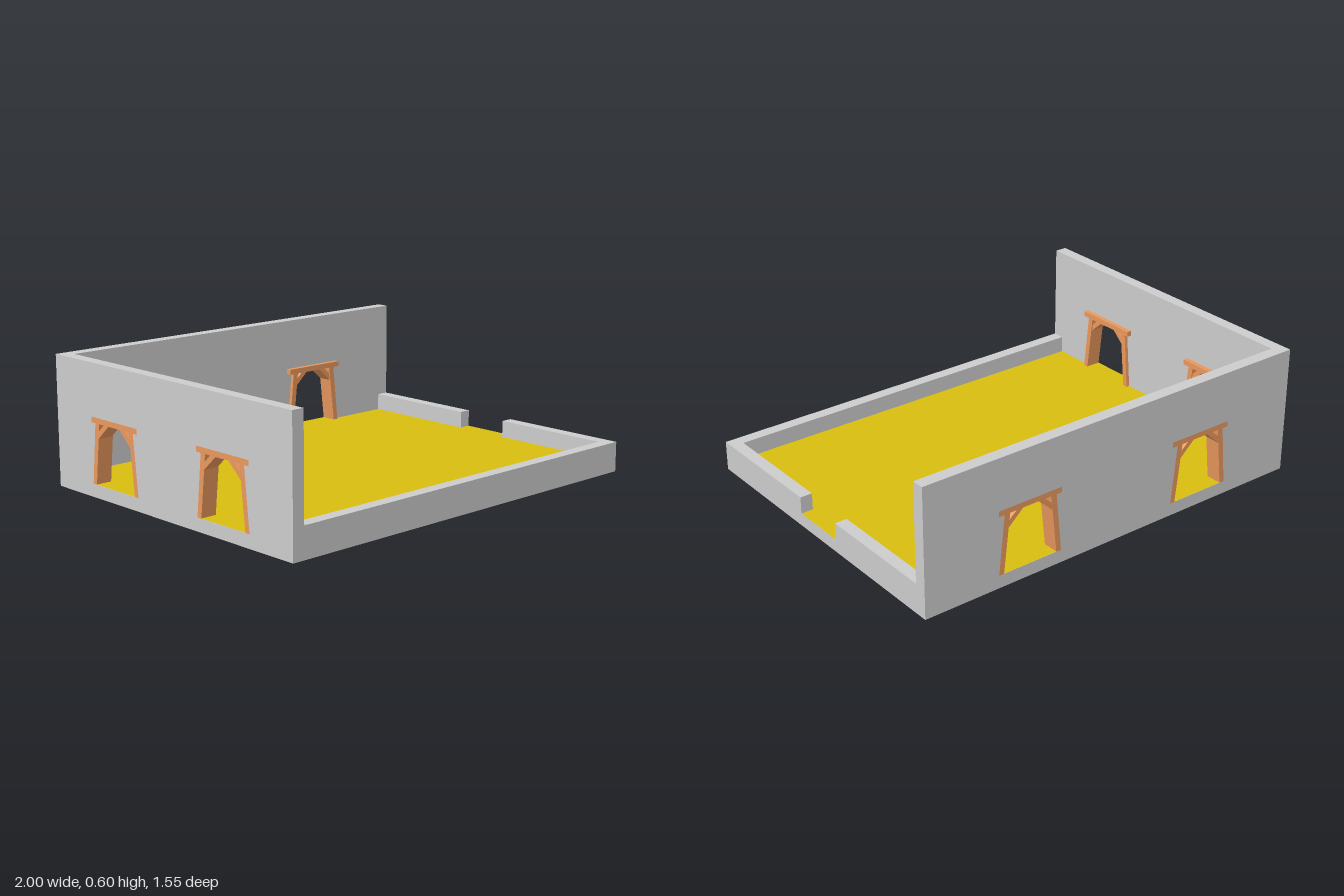
import * as THREE from 'three';

const W = 1, D = 0.777;            // half width and half depth of the room
const T = 0.058;                   // wall thickness
const FLOOR = 0.06, LOW = 0.14, HIGH = 0.6;
const LINTEL = [0.335, 0.36];      // lintel bottom and top
const HALF_LINTEL = 0.162;

const stone = new THREE.MeshStandardMaterial({ color: 0xcccccc });
const ochre = new THREE.MeshStandardMaterial({ color: 0xd9bd10 });
const wood = new THREE.MeshStandardMaterial({ color: 0xe9985d });

function extrude(name, points, depth, material) {
  const shape = new THREE.Shape(points.map(([x, y]) => new THREE.Vector2(x, y)));
  const geometry = new THREE.ExtrudeGeometry(shape, { depth, bevelEnabled: false });
  const mesh = new THREE.Mesh(geometry, material);
  mesh.name = name;
  return mesh;
}

// Box given by its minimum and maximum corners
function box(name, a, b, material) {
  const mesh = new THREE.Mesh(new THREE.BoxGeometry(b[0] - a[0], b[1] - a[1], b[2] - a[2]), material);
  mesh.position.set((a[0] + b[0]) / 2, (a[1] + b[1]) / 2, (a[2] + b[2]) / 2);
  mesh.name = name;
  return mesh;
}

// Timber doorway: outer face at z = 0, standing proud of the wall on the inside
function doorFrame() {
  const frame = new THREE.Group();
  frame.name = 'doorFrame';
  frame.add(box('lintel', [-HALF_LINTEL, LINTEL[0], 0], [HALF_LINTEL, LINTEL[1], T + 0.024], wood));
  const post = [[-0.162, FLOOR], [-0.137, FLOOR], [-0.106, LINTEL[0]], [-0.134, LINTEL[0]]];
  const brace = [[-0.114, 0.268], [-0.04, LINTEL[0]], [-0.073, LINTEL[0]], [-0.109, 0.304]];
  for (const side of [1, -1]) {
    const mirror = (points) => points.map(([x, y]) => [x * side, y]);
    frame.add(extrude('post', mirror(post), T + 0.017, wood));
    frame.add(extrude('brace', mirror(brace), T + 0.012, wood));
  }
  return frame;
}

// High wall from x0 to x1 with a framed doorway at each centre (left to right)
function highWall(name, x0, x1, centres) {
  const group = new THREE.Group();
  group.name = name;
  const outline = [[x0, FLOOR]];
  for (const c of centres) {
    // The cut-out follows the outside of the posts and lintel
    outline.push(
      [c - 0.162, FLOOR], [c - 0.134, LINTEL[0]],
      [c - HALF_LINTEL, LINTEL[0]], [c - HALF_LINTEL, LINTEL[1]],
      [c + HALF_LINTEL, LINTEL[1]], [c + HALF_LINTEL, LINTEL[0]],
      [c + 0.134, LINTEL[0]], [c + 0.162, FLOOR]);
    const frame = doorFrame();
    frame.position.x = c;
    group.add(frame);
  }
  outline.push([x1, FLOOR], [x1, HIGH], [x0, HIGH]);
  group.add(extrude('wall', outline, T, stone));
  return group;
}

export function createModel() {
  const model = new THREE.Group();
  model.name = 'room';

  // Base slab with a coloured floor surface
  model.add(box('base', [-W, 0, -D], [W, FLOOR, D], stone));
  const floor = new THREE.Mesh(new THREE.PlaneGeometry(2 * W, 2 * D), ochre);
  floor.rotation.x = -Math.PI / 2;
  floor.position.y = FLOOR + 0.0008;
  floor.name = 'floor';
  model.add(floor);

  // High walls at the back and on the -x side
  const back = highWall('backWall', -W, W, [-0.47, 0.47]);
  back.position.z = -D;
  const side = highWall('sideWall', -D, D - T, [-0.36, 0.36]);
  side.rotation.y = Math.PI / 2;
  side.position.x = -W;
  model.add(back, side);

  // Low walls at the front and on the +x side, which has an entrance gap
  model.add(box('frontLowWall', [-W + T, FLOOR, D - T], [W, LOW, D], stone));
  model.add(box('sideLowWall', [W - T, FLOOR, -D + T], [W, LOW, -0.136], stone));
  model.add(box('sideLowWall', [W - T, FLOOR, 0.136], [W, LOW, D - T], stone));
  return model;
}
